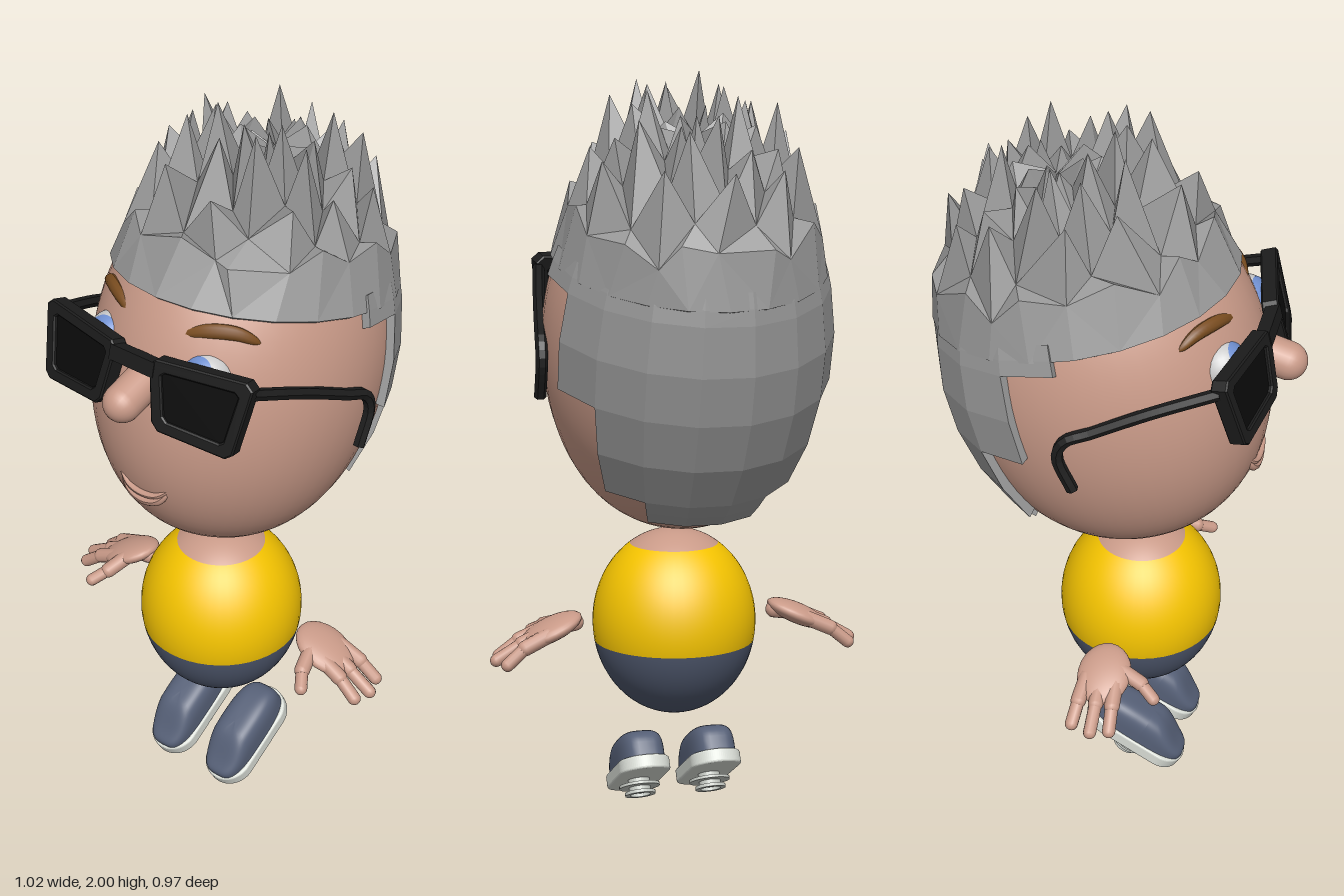
import * as THREE from 'three';

const V = (x, y, z) => new THREE.Vector3(x, y, z);
const rad = THREE.MathUtils.degToRad;
const SKIN = 0xc99a88, HAIR = 0x999999, BLACK = 0x1c1c1c, DENIM = 0x566077;

function mesh(parent, name, geometry, color, flat = false, side = THREE.FrontSide) {
  const m = new THREE.Mesh(geometry, new THREE.MeshStandardMaterial({ color, flatShading: flat, side }));
  m.name = name;
  parent.add(m);
  return m;
}

function group(parent, name) {
  const g = new THREE.Group();
  g.name = name;
  parent.add(g);
  return g;
}

// Flat-shaded sheet through point(row, col), with the diagonals alternating
function sheet(rows, cols, point) {
  const pos = [], idx = [];
  for (let r = 0; r < rows; r++) for (let c = 0; c < cols; c++) pos.push(...point(r, c).toArray());
  for (let r = 0; r < rows - 1; r++) for (let c = 0; c < cols - 1; c++) {
    const a = r * cols + c, b = a + cols;
    if ((r + c) % 2) idx.push(a, b, a + 1, b, b + 1, a + 1);
    else idx.push(a, b, b + 1, a, b + 1, a + 1);
  }
  const g = new THREE.BufferGeometry();
  g.setAttribute('position', new THREE.Float32BufferAttribute(pos, 3));
  g.setIndex(idx);
  const flat = g.toNonIndexed();
  flat.computeVertexNormals();
  return flat;
}

// Tube that narrows towards both ends
function taperTube(points, radius) {
  const n = 20, sides = 10, curve = new THREE.CatmullRomCurve3(points);
  const g = new THREE.TubeGeometry(curve, n, radius, sides);
  const p = g.attributes.position, v = V(0, 0, 0);
  for (let i = 0; i < p.count; i++) {
    const t = Math.floor(i / (sides + 1)) / n, c = curve.getPointAt(t);
    v.fromBufferAttribute(p, i).sub(c).multiplyScalar(0.15 + 0.85 * Math.sqrt(Math.sin(Math.PI * t) + 1e-6)).add(c);
    p.setXYZ(i, v.x, v.y, v.z);
  }
  g.computeVertexNormals();
  return g;
}

// Capsule between two points
function limb(parent, name, a, b, r) {
  const d = b.clone().sub(a), m = mesh(parent, name, new THREE.CapsuleGeometry(r, d.length(), 6, 12), SKIN);
  m.position.copy(a).add(b).multiplyScalar(0.5);
  m.quaternion.setFromUnitVectors(V(0, 1, 0), d.normalize());
}

// Skull: an egg with a fuller lower half; polar angle and azimuth in degrees, azimuth 0 at the front
const SKULL = V(0.367, 0.515, 0.42);
const girth = theta => Math.max(Math.sin(rad(theta)), 0) ** (theta > 90 ? 0.87 : 1);
const onSkull = (theta, az, s) => V(girth(theta) * Math.sin(rad(az)), Math.cos(rad(theta)), girth(theta) * Math.cos(rad(az)))
  .multiply(SKULL).multiplyScalar(s);

function buildHead(root) {
  const head = group(root, 'head');
  head.position.set(0, 1.32, -0.04);
  head.rotation.x = -rad(14);
  const profile = Array.from({ length: 41 }, (_, i) => new THREE.Vector2(girth(180 - i * 4.5), -Math.cos(rad(i * 4.5))));
  mesh(head, 'skull', new THREE.LatheGeometry(profile, 48), SKIN).scale.copy(SKULL);

  // Spiky hair: every other vertex of the rings is pulled up, in a checkerboard
  let seed = 11;
  const rnd = () => (seed = (seed * 16807) % 2147483647) / 2147483647;
  const up = V(0, 0.97, 0.242), n = 22;
  const rings = [[0, 1.02, 0], [12, 1.02, 0.08], [23, 1.02, 0.18], [34, 1.02, 0.19], [45, 1.03, 0.17],
    [55, 1.07, 0.04], [67, 1.035, 0], [67, 0.96, 0]];
  const pts = rings.map(([theta, s, h], r) => Array.from({ length: n }, (_, c) => {
    const spike = (r + c) % 2, loose = h > 0 ? 1 : 0;
    const az = (c + loose * (rnd() - 0.5) * 0.7) * 360 / n;
    const p = onSkull(theta + loose * (rnd() - 0.5) * 6, az, s + 0.015 * (1 - Math.cos(rad(az))));
    return p.addScaledVector(up, spike * h * (0.5 + 0.5 * rnd()));
  }));
  mesh(head, 'spikyHair', sheet(rings.length, n + 1, (r, c) => pts[r][c % n]), HAIR, true, THREE.DoubleSide);

  // Stepped hair at the back, each step with its own thickness
  for (const [t0, t1, az] of [[62, 71, 90], [71, 98, 110], [98, 127, 130], [127, 138, 150]]) {
    const thetas = [t0, t0, (t0 + t1) / 2, t1, t1], cols = (360 - 2 * az) / 20 + 3;
    const band = sheet(5, cols, (r, c) => {
      const rim = r === 0 || r === 4 || c === 0 || c === cols - 1;
      return onSkull(thetas[r], az + 20 * THREE.MathUtils.clamp(c - 1, 0, cols - 3), rim ? 0.97 : 1.06);
    });
    mesh(head, 'backHair', band, HAIR, true, THREE.DoubleSide);
  }
}

function buildFace(root) {
  const face = group(root, 'face');
  const nose = mesh(face, 'nose', new THREE.CapsuleGeometry(0.05, 0.1, 10, 24), SKIN);
  nose.position.set(0, 1.395, 0.38);
  nose.rotation.x = Math.PI / 2 + 0.28;
  mesh(face, 'lowerLip', taperTube([V(-0.075, 1.1, 0.353), V(-0.045, 1.068, 0.358), V(0, 1.056, 0.36),
    V(0.045, 1.068, 0.358), V(0.075, 1.1, 0.353)], 0.016), SKIN);
  mesh(face, 'upperLip', taperTube([V(-0.085, 1.115, 0.353), V(-0.045, 1.085, 0.365), V(0, 1.077, 0.368),
    V(0.045, 1.085, 0.365), V(0.085, 1.115, 0.353)], 0.009), SKIN);
  for (const s of [-1, 1]) {
    mesh(face, 'eyebrow', taperTube([V(s * 0.245, 1.535, 0.198), V(s * 0.2, 1.56, 0.23),
      V(s * 0.14, 1.562, 0.266), V(s * 0.065, 1.54, 0.3)], 0.02), 0x7a4d20);
    const eye = group(face, 'eye');
    eye.position.set(s * 0.152, 1.447, 0.285);
    eye.rotation.x = Math.PI / 2 - 0.6;
    mesh(eye, 'eyeball', new THREE.SphereGeometry(0.066, 28, 20), 0xeeeeee);
    mesh(eye, 'iris', new THREE.SphereGeometry(0.067, 28, 8, 0, Math.PI * 2, 0, 0.7), 0x6f8fd0);
    mesh(eye, 'pupil', new THREE.SphereGeometry(0.068, 20, 6, 0, Math.PI * 2, 0, 0.35), 0x111111);
  }
}

function buildGlasses(root) {
  const glasses = group(root, 'glasses');
  // Lens outline, counter-clockwise
  const outline = [[-0.108, -0.07], [-0.09, -0.088], [0.095, -0.098], [0.112, -0.085], [0.137, 0.085],
    [0.12, 0.1], [-0.12, 0.085], [-0.135, 0.07]].map(([x, y]) => new THREE.Vector2(x, y));
  const inner = outline.map(p => new THREE.Vector2(p.x * 0.8, p.y * 0.74));
  const rim = new THREE.Shape(outline);
  rim.holes.push(new THREE.Path(inner));
  const front = group(glasses, 'glassesFront');
  front.position.set(0, 1.42, 0.385);
  front.rotation.x = -rad(14);
  const bridge = mesh(front, 'bridge', new THREE.BoxGeometry(0.14, 0.04, 0.035), BLACK, true);
  bridge.position.set(0, 0.06, 0.005);
  for (const s of [-1, 1]) {
    const side = group(front, 'lensSide');
    side.scale.x = s;
    const lensHolder = group(side, 'lensHolder');
    lensHolder.position.set(0.187, 0, -0.025);
    lensHolder.rotation.y = rad(11);
    mesh(lensHolder, 'rim', new THREE.ExtrudeGeometry(rim, { depth: 0.036, bevelSize: 0.004, bevelThickness: 0.004,
      bevelSegments: 1 }), BLACK, true).position.z = -0.018;
    mesh(lensHolder, 'lens', new THREE.ExtrudeGeometry(new THREE.Shape(inner), { depth: 0.012, bevelEnabled: false }), 0x0b0b0b, true);
    // Arm running back and hooking down behind
    const arm = new THREE.CatmullRomCurve3([V(s * 0.312, 1.475, 0.315), V(s * 0.345, 1.41, 0.15), V(s * 0.37, 1.345, 0.01),
      V(s * 0.381, 1.315, -0.055), V(s * 0.383, 1.27, -0.073), V(s * 0.381, 1.17, -0.035)]);
    mesh(glasses, 'glassesArm', new THREE.TubeGeometry(arm, 30, 0.016, 6), BLACK, true, THREE.DoubleSide);
  }
}

function buildBody(root) {
  const body = group(root, 'body');
  body.position.set(0, 0.53, 0.052);
  body.scale.set(0.222, 0.255, 0.222);
  for (const [name, from, to, color] of [['neck', 0, 32.5, SKIN], ['shirt', 32.5, 101.3, 0xf5c400], ['trousers', 101.3, 180, 0x4d566b]])
    mesh(body, name, new THREE.SphereGeometry(1, 48, 20, 0, Math.PI * 2, rad(from), rad(to - from)), color);
}

function buildHand(root, s) {
  const hand = group(root, s > 0 ? 'leftHand' : 'rightHand');
  hand.scale.x = s;
  const palm = mesh(hand, 'palm', new THREE.SphereGeometry(1, 24, 16), SKIN);
  palm.scale.set(0.09, 0.028, 0.072);
  palm.position.set(0.345, 0.53, 0.034);
  palm.rotation.z = -rad(24);
  limb(hand, 'wrist', V(0.28, 0.545, 0.035), V(0.33, 0.537, 0.035), 0.024);
  // Each finger is two capsules, bending down and thinning at the tip
  for (const [z0, z1, x] of [[-0.01, -0.023, 0.474], [0.03, 0.032, 0.494], [0.07, 0.08, 0.479]]) {
    const knuckle = V(0.425, 0.496, (z0 + z1) / 2);
    limb(hand, 'finger', V(0.36, 0.525, z0), knuckle, 0.021);
    limb(hand, 'fingertip', knuckle, V(x, 0.455, z1), 0.0175);
  }
  limb(hand, 'thumb', V(0.325, 0.54, 0.07), V(0.345, 0.518, 0.135), 0.021);
  limb(hand, 'thumbTip', V(0.345, 0.518, 0.135), V(0.372, 0.495, 0.175), 0.017);
}

function buildShoe(root, s) {
  const shoe = group(root, s > 0 ? 'leftShoe' : 'rightShoe');
  shoe.position.set(s * 0.1, 0.082, 0.055);
  shoe.rotation.x = rad(30);
  const outline = new THREE.Shape().absarc(0, 0.082, 0.064, 0, Math.PI).absarc(0, -0.085, 0.064, Math.PI, Math.PI * 2);
  const sole = new THREE.ExtrudeGeometry(outline, { depth: 0.026, bevelSize: 0.006, bevelThickness: 0.006, bevelSegments: 3, curveSegments: 20 });
  sole.rotateX(-Math.PI / 2).rotateY(Math.PI).translate(0, 0.006, 0);
  mesh(shoe, 'sole', sole, 0xd8dcd5);

  // Upper: squared-off dome, higher at the heel than at the toe
  const upper = new THREE.SphereGeometry(1, 40, 16, 0, Math.PI * 2, 0, Math.PI / 2), p = upper.attributes.position;
  const soft = (v, e) => Math.sign(v) * Math.abs(v) ** e;
  for (let i = 0; i < p.count; i++) {
    const z = soft(p.getZ(i), 0.65);
    const h = THREE.MathUtils.lerp(0.092, 0.042, THREE.MathUtils.smoothstep(z, 0.15, 0.95));
    p.setXYZ(i, soft(p.getX(i), 0.6) * 0.064, 0.03 + soft(p.getY(i), 0.45) * h, z * 0.145);
  }
  upper.computeVertexNormals();
  mesh(shoe, 'upper', upper, DENIM);

  // Flanged peg under the sole
  const profile = [[0.03, 0.002], [0.03, -0.014], [0.056, -0.014], [0.056, -0.022], [0.03, -0.022],
    [0.03, -0.034], [0.042, -0.034], [0.042, -0.043], [0.028, -0.043], [0.028, -0.034], [0, -0.034]];
  mesh(shoe, 'peg', new THREE.LatheGeometry(profile.map(([r, y]) => new THREE.Vector2(r, y)), 28), 0xc4c8c2, true, THREE.DoubleSide);
}

export function createModel() {
  const root = new THREE.Group();
  root.name = 'figure';
  buildHead(root);
  buildFace(root);
  buildGlasses(root);
  buildBody(root);
  for (const s of [-1, 1]) {
    buildHand(root, s);
    buildShoe(root, s);
  }
  return root;
}
